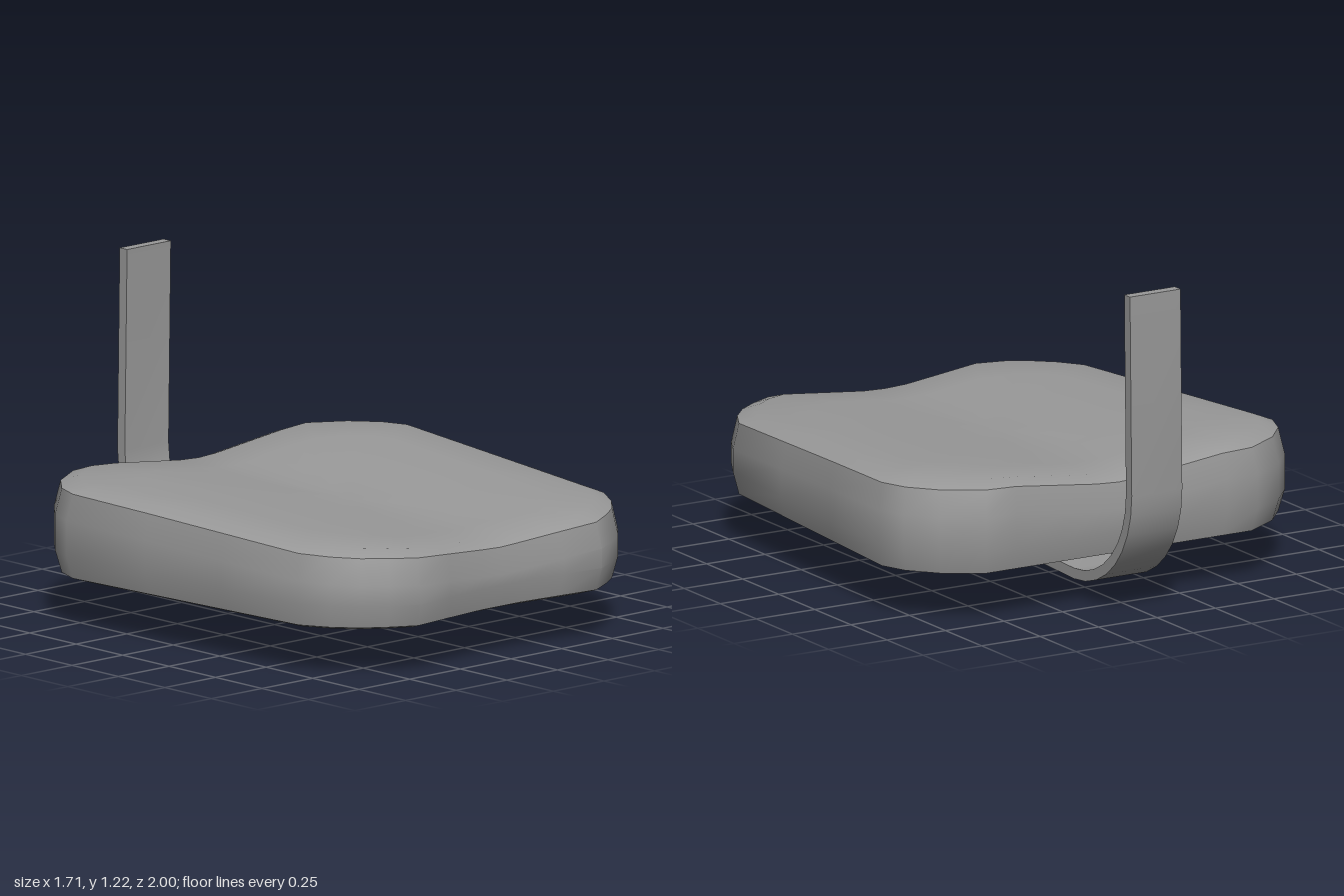
import * as THREE from 'three';
import { toCreasedNormals } from 'three/addons/utils/BufferGeometryUtils.js';

const darkGrey = new THREE.MeshStandardMaterial({ color: 0x999999 });

function add(group, name, geometry) {
  const mesh = new THREE.Mesh(geometry, darkGrey);
  mesh.name = name;
  group.add(mesh);
  return mesh;
}

// Joins closed rings of [x, y, z] points, listed counter-clockwise seen from above, bottom to top.
function loft(rings, crease) {
  const n = rings[0].length;
  const index = [];
  for (let r = 0; r < rings.length - 1; r++) {
    for (let j = 0; j < n; j++) {
      const a = r * n + j, b = r * n + (j + 1) % n;
      index.push(a, b, b + n, a, b + n, a + n);
    }
  }
  const points = rings.flat();
  const kept = [];
  const t = new THREE.Triangle();
  // skip the collapsed triangles around ring centres
  for (let i = 0; i < index.length; i += 3) {
    t.a.fromArray(points[index[i]]);
    t.b.fromArray(points[index[i + 1]]);
    t.c.fromArray(points[index[i + 2]]);
    if (t.getArea() > 1e-7) kept.push(...t.a.toArray(), ...t.b.toArray(), ...t.c.toArray());
  }
  const g = new THREE.BufferGeometry();
  g.setAttribute('position', new THREE.Float32BufferAttribute(kept, 3));
  return toCreasedNormals(g, crease);
}

// Height of the cushion top: rises to the back, dips along the middle.
function topHeight(x, z) {
  const rise = THREE.MathUtils.clamp((0.92 - z) / 1.32, 0, 1);
  const dip = THREE.MathUtils.clamp((0.48 - Math.abs(x)) / 0.43, 0, 1);
  return 0.465 + 0.058 * rise - (0.036 + 0.014 * rise) * dip;
}

function cushionGeometry() {
  // left half of the outline as [x, z], front centre to back centre
  const half = [
    [0, 0.963], [0.1, 0.963], [0.28, 0.981], [0.45, 1], [0.55, 0.945], [0.635, 0.885], [0.71, 0.8], [0.77, 0.69],
    [0.798, 0.31], [0.826, -0.07], [0.855, -0.46], [0.815, -0.565], [0.725, -0.67], [0.58, -0.758],
    [0.45, -0.758], [0.25, -0.758], [0.1, -0.758], [0, -0.758],
  ];
  const mirrored = half.slice(1, -1).reverse().map(([x, z]) => [-x, z]);
  const outline = [...half, ...mirrored];
  const midZ = 0.12;
  const ring = (scale, height) => outline.map(([ox, oz]) => {
    const x = ox * scale, z = midZ + (oz - midZ) * scale;
    return [x, height(x, z), z];
  });
  const flat = (y) => () => y;
  const below = (drop) => (x, z) => topHeight(x, z) - drop;
  const rings = [
    ring(0, flat(0.166)), ring(0.9, flat(0.166)), ring(0.977, flat(0.187)), ring(1, flat(0.27)),
    ring(1, below(0.12)), ring(0.977, below(0.022)),
  ];
  for (const s of [0.91, 0.7, 0.45, 0.2, 0]) rings.push(ring(s, below(0)));
  return loft(rings, 0.65);
}

// Tapered block under the cushion, wider at the back.
function mountGeometry() {
  const ring = (y, frontX, backX, frontZ, backZ) => [
    [-frontX, y, frontZ], [frontX, y, frontZ], [backX, y, backZ], [-backX, y, backZ],
  ];
  const bottom = ring(0.057, 0.15, 0.22, 0.385, -0.145);
  const top = ring(0.17, 0.265, 0.33, 0.49, -0.245);
  const centre = (y) => bottom.map(() => [0, y, 0.12]);
  return loft([centre(0.057), bottom, top, centre(0.17)], 0.3);
}

// Bent flat strip: a side profile in z and y, extruded across the width.
function barGeometry() {
  const edge = (radius, startY, topZ) => {
    const points = [new THREE.Vector2(-0.1, startY)];
    for (let i = 0; i <= 8; i++) {
      const a = (i / 8) * Math.PI / 2;
      points.push(new THREE.Vector2(-0.6 - radius * Math.sin(a), 0.47 - radius * Math.cos(a)));
    }
    return [...points, new THREE.Vector2(topZ, 1.22)];
  };
  const shape = new THREE.Shape([...edge(0.4, 0.088, -0.988), ...edge(0.36, 0.128, -0.948).reverse()]);
  const width = 0.216;
  const g = new THREE.ExtrudeGeometry(shape, { depth: width, bevelEnabled: false });
  g.rotateY(-Math.PI / 2).translate(width / 2, 0, 0);
  return toCreasedNormals(g, 0.6);
}

export function createModel() {
  const model = new THREE.Group();
  model.name = 'seat';
  add(model, 'cushion', cushionGeometry());
  add(model, 'mountingBlock', mountGeometry());
  add(model, 'backrestBar', barGeometry());

  // short socket for the post
  const socket = toCreasedNormals(new THREE.CylinderGeometry(0.108, 0.108, 0.07, 12), 0.6);
  add(model, 'postSocket', socket).position.set(0, 0.035, 0.12);
  return model;
}
